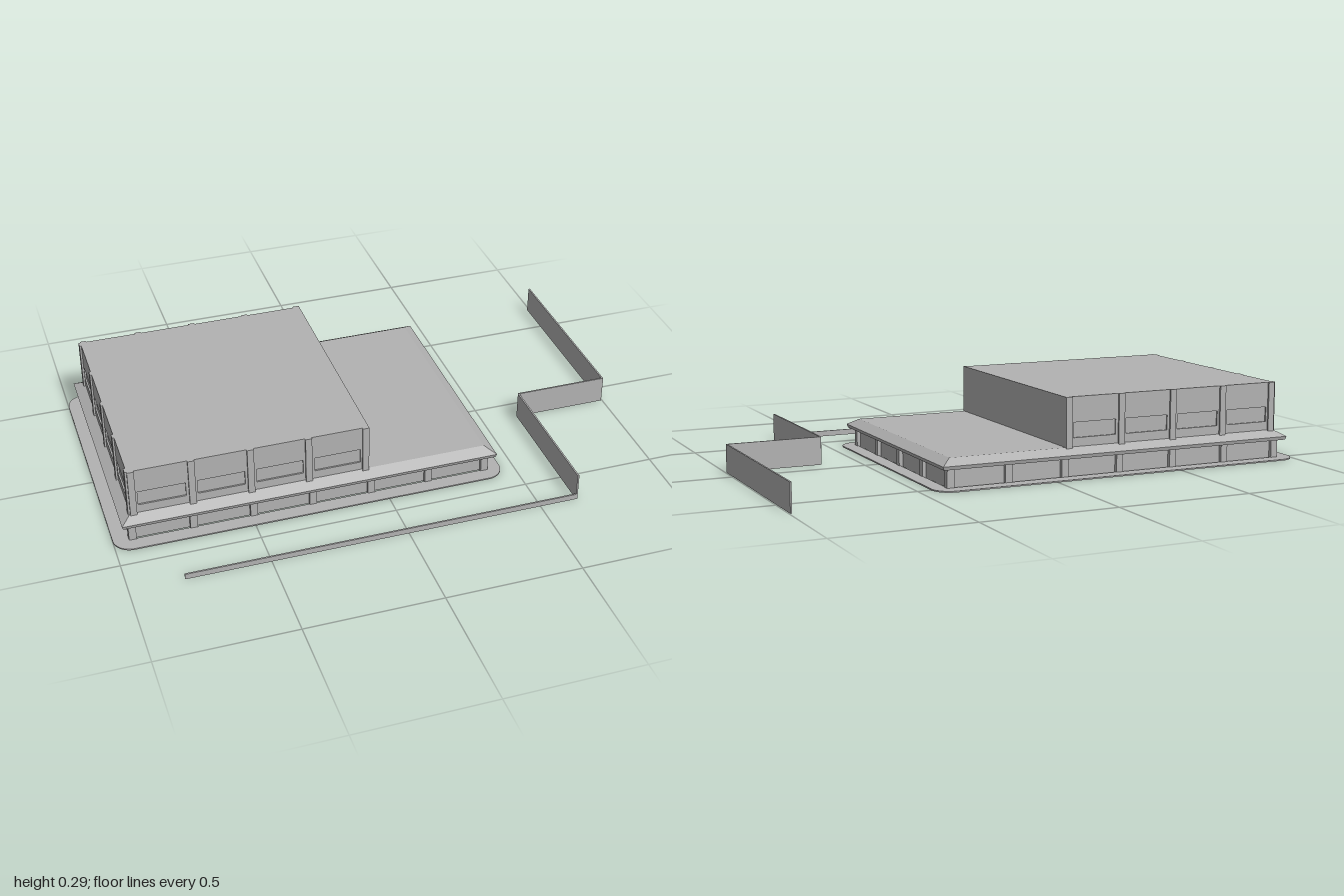
import * as THREE from 'three';

export function createModel() {
  const model = new THREE.Group();
  const grey = new THREE.MeshStandardMaterial({ color: 0xb2b2b2, side: THREE.DoubleSide });
  grey.name = 'plain grey';

  const add = (name, geometry, parent = model) => {
    const mesh = new THREE.Mesh(geometry, grey);
    mesh.name = name;
    parent.add(mesh);
    return mesh;
  };
  // Box given by its limits on each axis
  const box = (name, x0, x1, y0, y1, z0, z1, parent) =>
    add(name, new THREE.BoxGeometry(x1 - x0, y1 - y0, z1 - z0), parent)
      .position.set((x0 + x1) / 2, (y0 + y1) / 2, (z0 + z1) / 2);
  const rectPath = (path, x0, x1, y0, y1) => {
    path.moveTo(x0, y0).lineTo(x1, y0).lineTo(x1, y1).lineTo(x0, y1).closePath();
    return path;
  };

  // Lower storey wall planes
  const X0 = -0.93, X1 = 0.385, Z0 = -0.505, Z1 = 0.365;

  // Rounded pavement ring around the open building footprint
  const pave = new THREE.Shape();
  const [px0, px1, pz0, pz1, r] = [-1, 0.45, -0.43, 0.57, 0.065];
  pave.absarc(px1 - r, pz1 - r, r, 0, Math.PI / 2);
  pave.absarc(px0 + r, pz1 - r, r, Math.PI / 2, Math.PI);
  pave.absarc(px0 + r, pz0 + r, r, Math.PI, Math.PI * 1.5);
  pave.absarc(px1 - r, pz0 + r, r, Math.PI * 1.5, Math.PI * 2);
  pave.holes.push(rectPath(new THREE.Path(), X0 - 0.01, X1 + 0.01, -Z1 - 0.01, -Z0 + 0.01));
  add('pavement', new THREE.ExtrudeGeometry(pave, { depth: 0.005, bevelEnabled: false, curveSegments: 8 })
    .rotateX(-Math.PI / 2));

  // Lower storey walls
  const t = 0.004, H = 0.076;
  box('frontLowerWall', X0, X1, 0, H, Z1 - t, Z1);
  box('backLowerWall', X0, X1, 0, H, Z0, Z0 + t);
  box('rightLowerWall', X0, X0 + t, 0, H, Z0, Z1);
  box('leftLowerWall', X1 - t, X1, 0, H, Z0, Z1);

  // Lower columns along all four sides
  const d = 0.014, w = 0.013;
  for (let i = 0; i <= 6; i++) {
    const x = THREE.MathUtils.lerp(X0, X1, i / 6);
    box('frontColumn', x - w, x + w, 0, H, Z1, Z1 + d);
    box('backColumn', x - w, x + w, 0, H, Z0 - d, Z0);
  }
  for (let i = 0; i <= 4; i++) {
    const z = THREE.MathUtils.lerp(Z0, Z1, i / 4);
    box('rightColumn', X0 - d, X0, 0, H, z - w, z + w);
    box('leftColumn', X1, X1 + d, 0, H, z - w, z + w);
  }

  // Flared eaves lofted through rectangles: [overhang, height]
  const profile = [[0, 0.076], [0.034, 0.072], [0.038, 0.085], [0, 0.108]];
  const corners = profile.map(([o, y]) => [
    [X0 - o, y, Z1 + o], [X1 + o, y, Z1 + o], [X1 + o, y, Z0 - o], [X0 - o, y, Z0 - o],
  ]);
  const points = [];
  for (let k = 0; k < 3; k++) {
    for (let i = 0; i < 4; i++) {
      const j = (i + 1) % 4;
      const [a, b, c, e] = [corners[k][i], corners[k][j], corners[k + 1][j], corners[k + 1][i]];
      points.push(...a, ...b, ...c, ...a, ...c, ...e);
    }
  }
  const eaves = new THREE.BufferGeometry();
  eaves.setAttribute('position', new THREE.Float32BufferAttribute(points, 3));
  eaves.computeVertexNormals();
  add('eaves', eaves);

  // Upper storey is a square block; the terrace covers the rest
  const R = 0.435, cx = X0 + R, cz = -0.07, y0 = 0.1, y1 = 0.287;
  box('terraceRoof', cx + R, X1, 0.104, 0.108, Z0, Z1);
  box('upperRoof', cx - R, cx + R, y1 - 0.004, y1, cz - R, cz + R);
  box('upperPlainWall', cx + R - t, cx + R, y0, y1, cz - R, cz + R);

  // Three upper walls with recessed windows and pilasters
  const step = 0.2125;
  [['front', 0], ['right', -Math.PI / 2], ['back', Math.PI]].forEach(([side, turn]) => {
    const group = new THREE.Group();
    group.name = side + 'UpperWall';
    group.position.set(cx, 0, cz);
    group.rotation.y = turn;
    model.add(group);
    const wall = rectPath(new THREE.Shape(), -R, R, y0, y1);
    for (let i = 0; i < 4; i++) {
      const x = (i - 1.5) * step;
      wall.holes.push(rectPath(new THREE.Path(), x - 0.085, x + 0.085, 0.14, 0.195));
      box('windowPane', x - 0.085, x + 0.085, 0.14, 0.195, R - 0.008, R - 0.006, group);
    }
    const geometry = new THREE.ExtrudeGeometry(wall, { depth: 0.008, bevelEnabled: false });
    add('windowWall', geometry, group).position.z = R - 0.008;
    for (let i = 0; i <= 4; i++) {
      const x = (i - 2) * step * 0.995;
      box('pilaster', x - 0.012, x + 0.012, y0, y1, R, R + 0.007, group);
    }
  });

  // Stepped boundary wall and low kerb
  const f = 0.006, top = 0.104;
  box('boundaryWallRear', 0.99, 0.996, 0, top, -0.64, 0.085);
  box('boundaryWallMiddle', 0.64, 0.996, 0, top, 0.08, 0.08 + f);
  box('boundaryWallFront', 0.638, 0.644, 0, top, 0.085, 0.638);
  box('lowKerb', -0.805, 0.642, 0, 0.021, 0.632, 0.638);

  return model;
}
